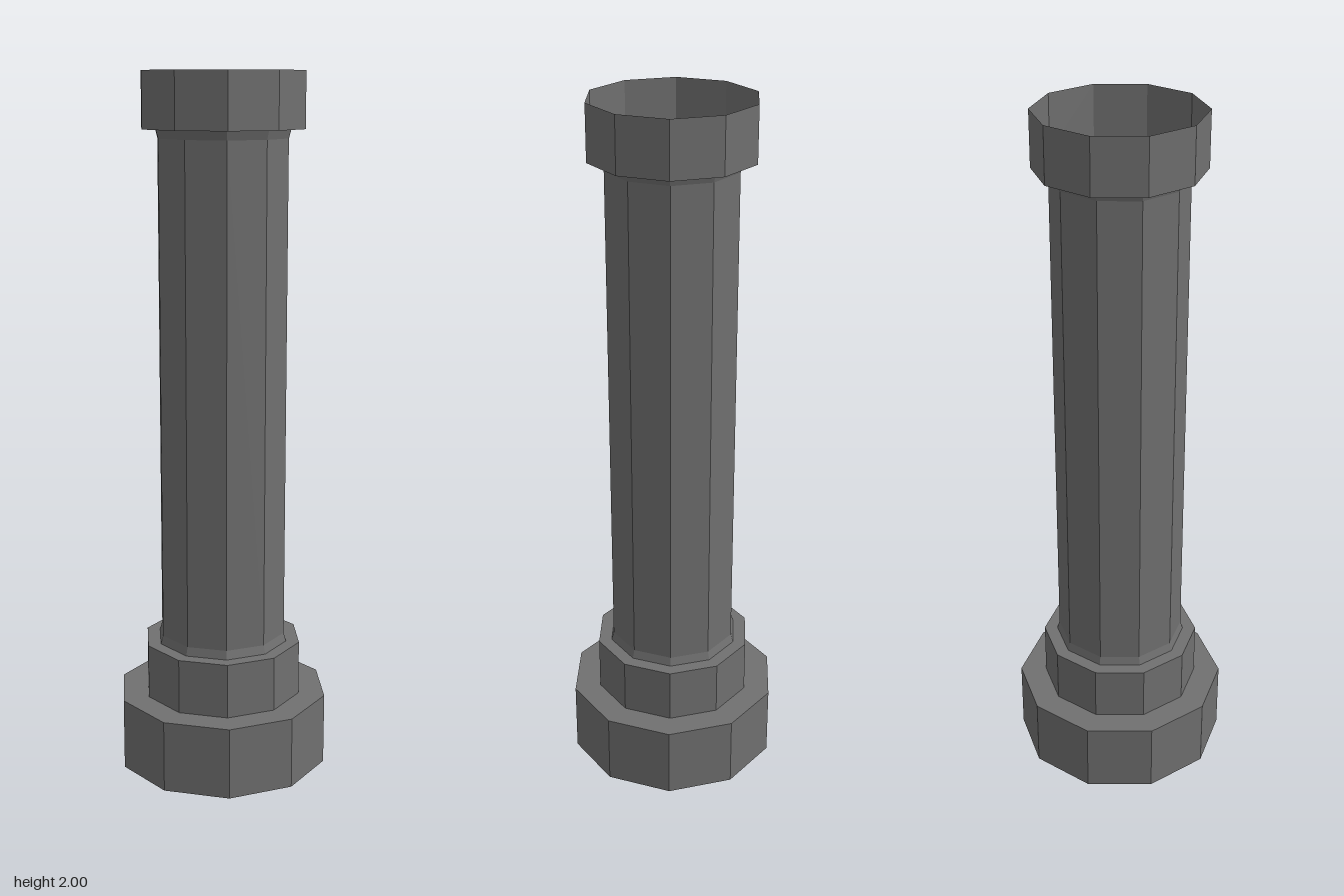
import * as THREE from 'three';

const SIDES = 10;

export function createModel() {
  const model = new THREE.Group();
  const material = new THREE.MeshStandardMaterial({
    color: 0x707070, flatShading: true, side: THREE.DoubleSide,
  });

  // Open ten-sided shell from [radius, height] points, with a corner on the x axis
  const addShell = (name, profile) => {
    const points = profile.map(([r, y]) => new THREE.Vector2(r, y));
    const mesh = new THREE.Mesh(new THREE.LatheGeometry(points, SIDES, Math.PI / 2), material);
    mesh.name = name;
    model.add(mesh);
  };

  // Wide foot, open below, with a ledge on top
  addShell('base', [[0.31, 0], [0.31, 0.21], [0.232, 0.21]]);
  // Narrower ring above the foot
  addShell('lowerCollar', [[0.232, 0.21], [0.232, 0.37], [0.193, 0.37]]);
  // Hollow shaft, slightly flared at both ends
  addShell('shaft', [[0.193, 0.37], [0.186, 0.395], [0.186, 1.82], [0.193, 1.845]]);
  // Open cup at the top
  addShell('upperCollar', [[0.193, 1.845], [0.232, 1.845], [0.232, 2]]);

  return model;
}
